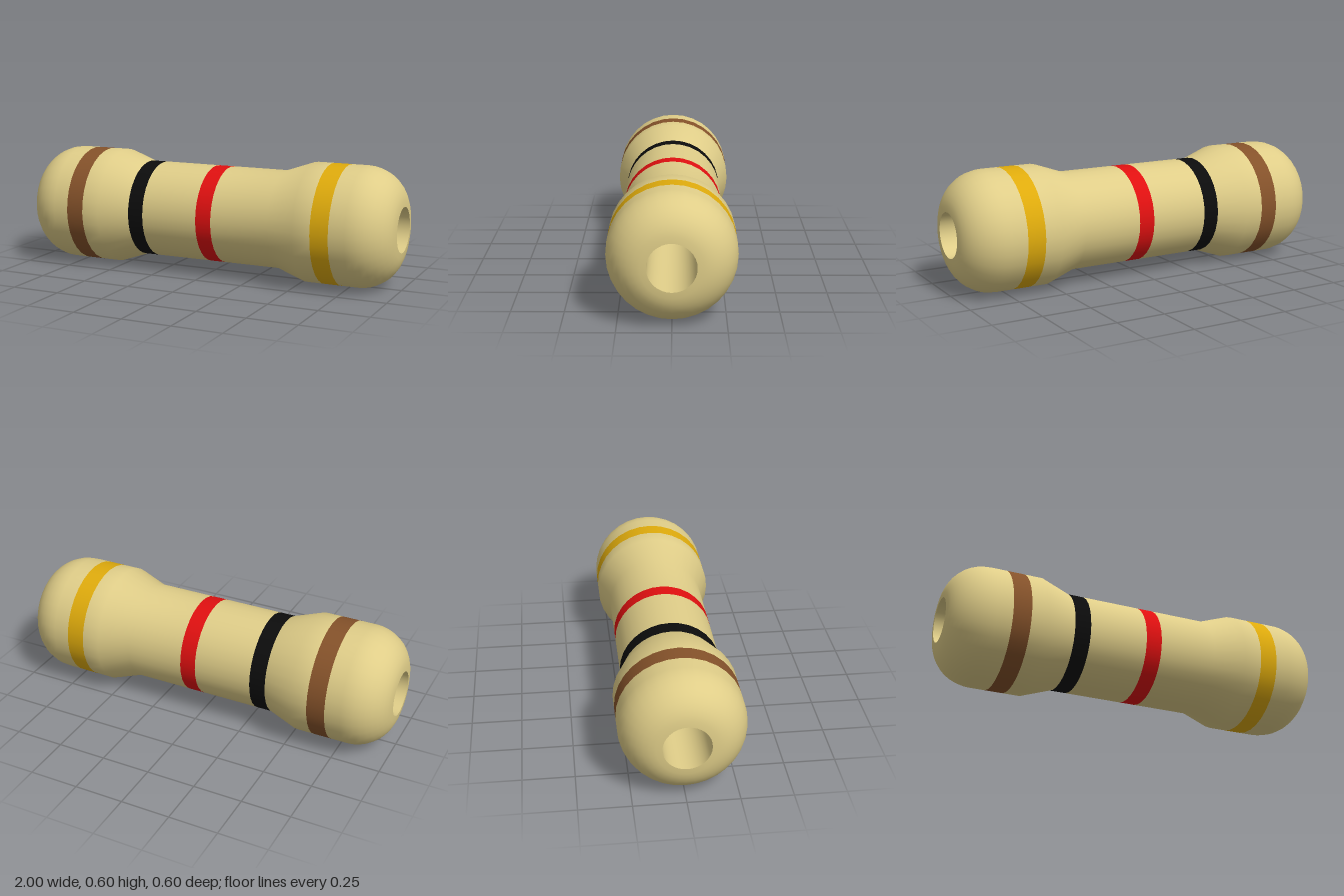
import * as THREE from 'three';

const SEGMENTS = 32;
const END_R = 0.302, NECK_R = 0.249, BORE_R = 0.113;

function material(name, color) {
  const m = new THREE.MeshStandardMaterial({ color });
  m.name = name;
  return m;
}

// Surface of revolution about the x axis from [x, radius] pairs
function revolve(name, profile, mat) {
  const points = profile.map(([x, r]) => new THREE.Vector2(r, x));
  const geometry = new THREE.LatheGeometry(points, SEGMENTS);
  geometry.rotateZ(-Math.PI / 2);
  const mesh = new THREE.Mesh(geometry, mat);
  mesh.name = name;
  return mesh;
}

export function createModel() {
  const beige = material('beige', 0xdfcd88);
  const brown = material('brown', 0x85522a);
  const black = material('black', 0x0c0c0c);
  const red = material('red', 0xe01010);
  const gold = material('gold', 0xdfab0c);

  const group = new THREE.Group();
  group.name = 'resistor';

  // Rounded end caps, from the bore rim out to the full radius
  const round = [];
  for (let i = 0; i <= 10; i++) {
    const a = (i / 10) * Math.PI / 2;
    round.push([-0.8 - 0.2 * Math.cos(a), BORE_R + (END_R - BORE_R) * Math.sin(a)]);
  }
  const mirror = (profile) => profile.map(([x, r]) => [-x, r]).reverse();
  const leftCap = [...round, [-0.72, END_R]];
  const shoulder = [[-0.628, END_R], [-0.537, END_R], [-0.385, NECK_R]];

  // Body sections between the bands
  group.add(
    revolve('rightCap', leftCap, beige),
    revolve('rightShoulder', shoulder, beige),
    revolve('neckRight', [[-0.302, NECK_R], [0, NECK_R]], beige),
    revolve('neckLeft', [[0.083, NECK_R], ...mirror(shoulder)], beige),
    revolve('leftCap', mirror(leftCap), beige),
  );

  // Colour bands, flush with the body
  const bands = [
    ['brownBand', -0.72, -0.628, END_R, brown],
    ['blackBand', -0.385, -0.302, NECK_R, black],
    ['redBand', 0, 0.083, NECK_R, red],
    ['goldBand', 0.628, 0.72, END_R, gold],
  ];
  for (const [name, x0, x1, r, mat] of bands) {
    group.add(revolve(name, [[x0, r], [x1, r]], mat));
  }

  // Bore through the whole length, facing inward
  group.add(revolve('bore', [[1, BORE_R], [-1, BORE_R]], beige));

  for (const part of group.children) part.position.y = END_R;
  return group;
}
